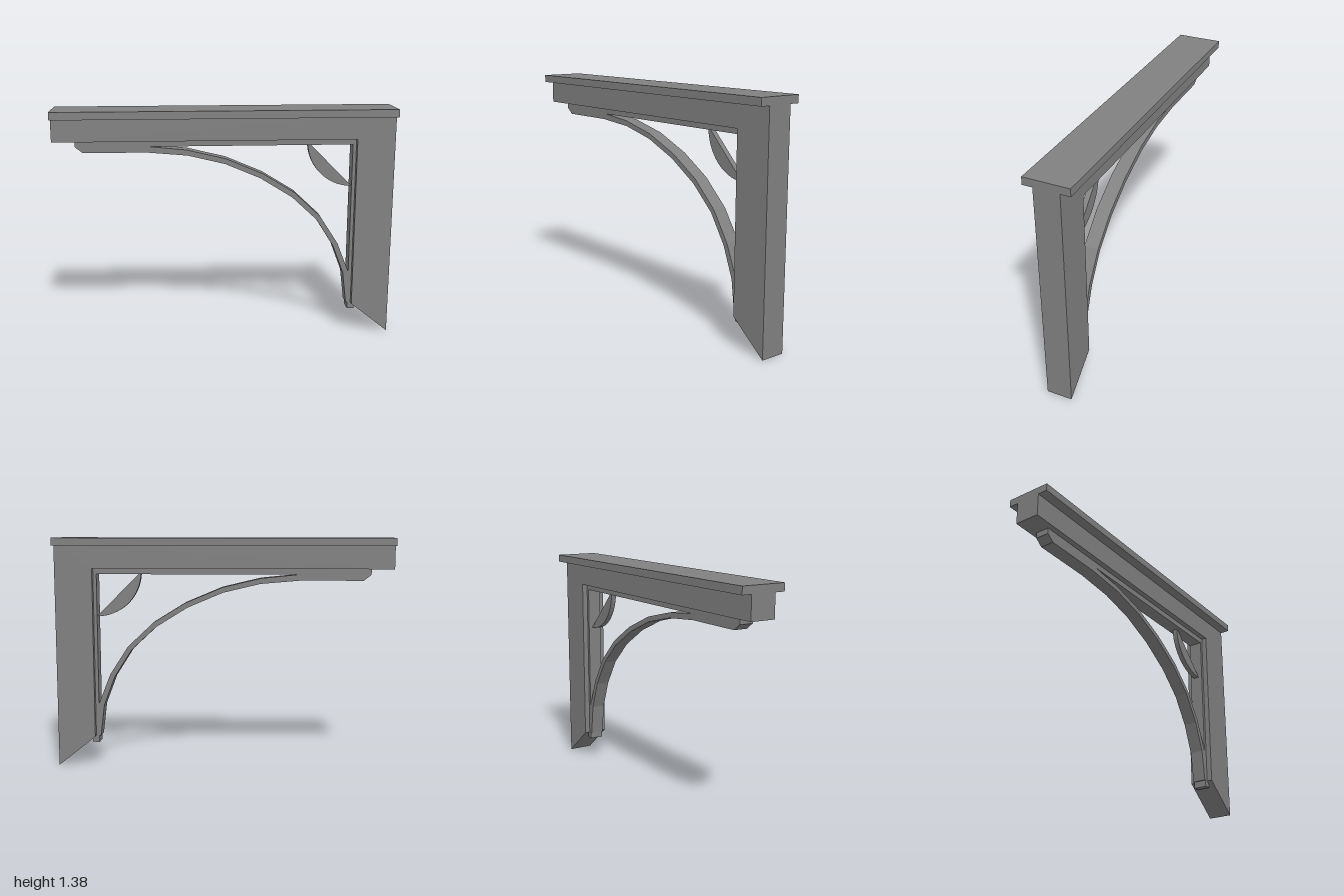
import * as THREE from 'three';

const grey = new THREE.MeshStandardMaterial({ color: 0x808080 });
grey.name = 'grey';

// Extrudes a front outline, centred on z = 0
function slab(name, shape, depth) {
  const geometry = new THREE.ExtrudeGeometry(shape, { depth, bevelEnabled: false, curveSegments: 10 });
  geometry.translate(0, 0, -depth / 2);
  const mesh = new THREE.Mesh(geometry, grey);
  mesh.name = name;
  return mesh;
}

const outline = (points) => new THREE.Shape(points.map(([x, y]) => new THREE.Vector2(x, y)));

export function createModel() {
  const group = new THREE.Group();
  group.name = 'bracket';

  // Beam and post in one piece, the post foot cut at a slant
  group.add(slab('beamAndPost', outline([
    [-1, 1.2], [0.775, 1.2], [0.775, 0.18], [1, 0], [1, 1.36], [-1, 1.36],
  ]), 0.15));

  // Wide board on top
  const cap = new THREE.Mesh(new THREE.BoxGeometry(2, 0.045, 0.266), grey);
  cap.name = 'topBoard';
  cap.position.y = 1.3575;
  group.add(cap);

  // Narrow lining along the inner corner
  group.add(slab('lining', outline([
    [-0.87, 1.165], [0.755, 1.165], [0.755, 0.14], [0.797, 0.14], [0.797, 1.21], [-0.87, 1.21],
  ]), 0.084));

  // Faceted curved brace with a chamfered end under the beam
  group.add(slab('curvedBrace', outline([
    [-0.87, 1.166], [-0.825, 1.131], [-0.46, 1.131],
    [-0.22, 1.11], [0, 1.057], [0.21, 0.968], [0.4, 0.85], [0.55, 0.71],
    [0.655, 0.545], [0.722, 0.37], [0.746, 0.18], [0.776, 0.18],
    [0.756, 0.375], [0.682, 0.56], [0.572, 0.73], [0.415, 0.878],
    [0.225, 0.995], [0.005, 1.088], [-0.225, 1.143], [-0.45, 1.166],
  ]), 0.084));

  // Thin quarter disc in the corner
  const quarter = new THREE.Shape();
  quarter.moveTo(0.76, 1.18);
  quarter.absarc(0.76, 1.18, 0.27, Math.PI, Math.PI * 1.5, false);
  quarter.closePath();
  group.add(slab('cornerDisc', quarter, 0.032));

  return group;
}
